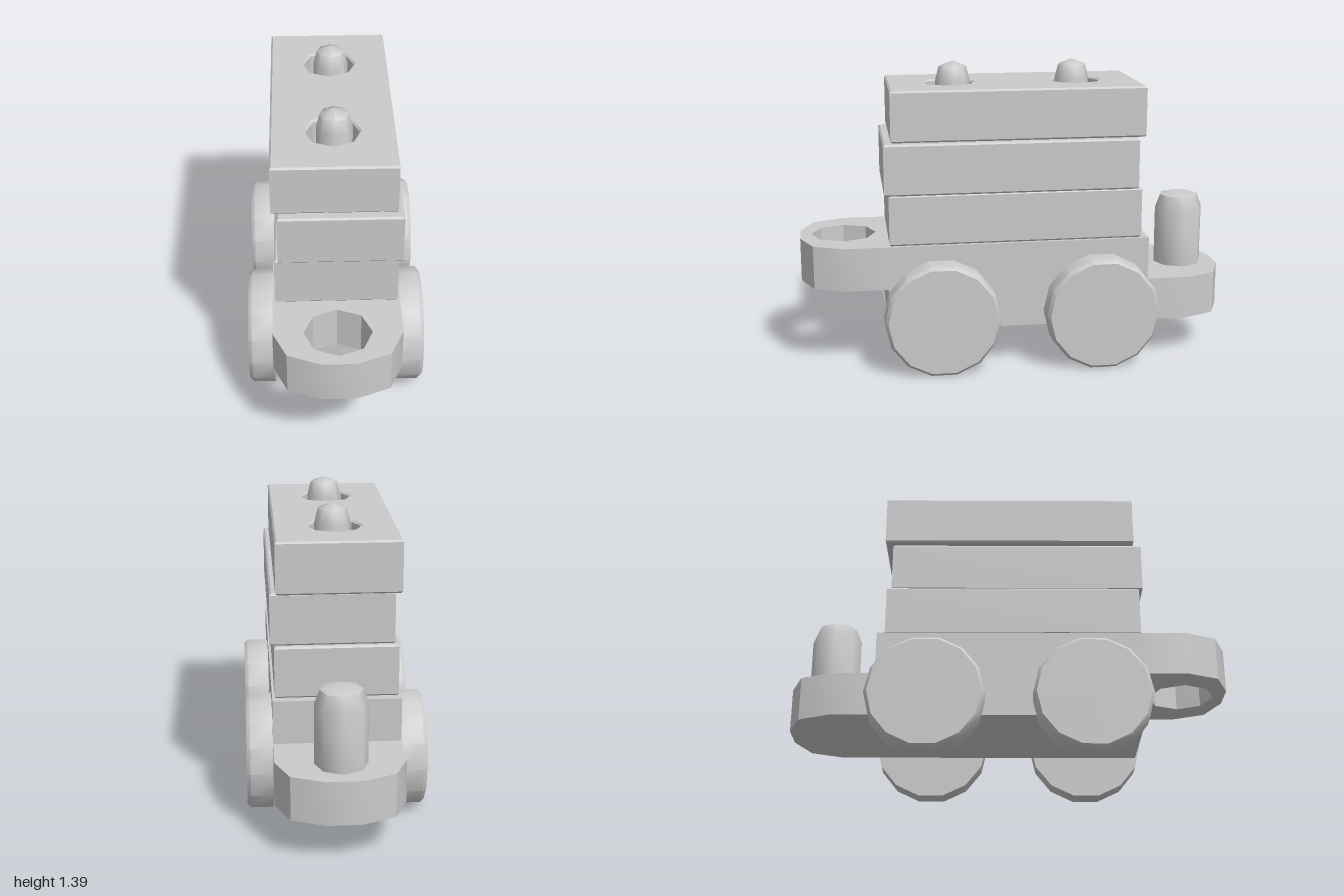
import * as THREE from 'three';
import { toCreasedNormals } from 'three/addons/utils/BufferGeometryUtils.js';

const material = new THREE.MeshStandardMaterial({ color: 0xcccccc });
const CREASE = 0.77;
const HALF = 0.283; // half width of the chassis

function add(parent, name, geometry, x = 0, y = 0, z = 0) {
  const mesh = new THREE.Mesh(geometry, material);
  mesh.name = name;
  mesh.position.set(x, y, z);
  parent.add(mesh);
  return mesh;
}

const outline = (pts) => new THREE.Shape(pts.map(([x, z]) => new THREE.Vector2(x, z)));

// Octagonal hole in a plan outline
function octagon(z, r) {
  const pts = [];
  for (let i = 0; i < 8; i++) {
    const a = (i * Math.PI) / 4;
    pts.push(new THREE.Vector2(r * Math.cos(a), z + r * Math.sin(a)));
  }
  return new THREE.Path(pts);
}

// Plan outline (x, z) raised from y = 0 to the given height
function slab(shape, height, bevel = 0) {
  const g = new THREE.ExtrudeGeometry(shape, {
    depth: height - 2 * bevel,
    bevelEnabled: bevel > 0,
    bevelSize: bevel,
    bevelThickness: bevel,
    bevelOffset: -bevel,
    bevelSegments: 1,
  });
  g.rotateX(Math.PI / 2);
  g.translate(0, height - bevel, 0);
  return toCreasedNormals(g, CREASE);
}

// Rounded coupling tongue, pointing to +z
function tongueShape() {
  return outline([
    [-HALF, 0.605], [HALF, 0.605], [HALF, 0.8], [0.222, 0.94],
    [0.075, 1], [-0.075, 1], [-0.222, 0.94], [-HALF, 0.8],
  ]);
}

// Eight-sided peg with a domed top
function peg(r, height, dome) {
  const profile = [
    [0, 0], [r, 0], [r, height - dome], [r * 0.8, height - dome * 0.28], [0, height],
  ].map(([x, y]) => new THREE.Vector2(x, y));
  return toCreasedNormals(new THREE.LatheGeometry(profile, 8), 0.95);
}

export function createModel() {
  const model = new THREE.Group();
  model.name = 'stackingWagon';

  // Chassis: middle block, raised front tongue with hole, low rear tongue with peg
  const chassis = new THREE.Group();
  chassis.name = 'chassis';
  model.add(chassis);
  add(chassis, 'chassisBlock', new THREE.BoxGeometry(2 * HALF, 0.4, 1.21), 0, 0.395, 0);
  const front = tongueShape();
  front.holes.push(octagon(0.8, 0.15));
  add(chassis, 'frontCoupling', slab(front, 0.2), 0, 0.395, 0);
  add(chassis, 'rearCoupling', slab(tongueShape(), 0.2), 0, 0.195, 0).rotation.y = Math.PI;
  add(chassis, 'couplingPeg', peg(0.115, 0.365, 0.085), 0, 0.39, -0.82);

  // Loose stacked blocks, each with two holes: [x, y, z, height]
  const blocks = [
    [0, 0.595, 0.013, 0.235],
    [0.017, 0.83, 0.033, 0.235],
    [-0.008, 1.067, -0.002, 0.233],
  ];
  blocks.forEach(([x, y, z, h], i) => {
    const w = 0.272, l = 0.583;
    const shape = outline([[-w, -l], [w, -l], [w, l], [-w, l]]);
    for (const s of [-1, 1]) shape.holes.push(octagon(s * 0.297, 0.118));
    add(model, `stackedBlock${i + 1}`, slab(shape, h, 0.008), x, y, z);
  });

  // Upright pegs through the blocks
  for (const z of [-0.283, 0.277]) add(model, 'stackPeg', peg(0.08, 0.81, 0.09), 0, 0.59, z);

  // Wheels: bevelled discs
  const rim = [[0, 0], [0.265, 0], [0.265, 0.1], [0.25, 0.117], [0, 0.117]]
    .map(([r, y]) => new THREE.Vector2(r, y));
  const wheelGeometry = toCreasedNormals(new THREE.LatheGeometry(rim, 14), CREASE);
  for (const side of [-1, 1]) {
    for (const z of [-0.375, 0.365]) {
      const wheel = add(model, 'wheel', wheelGeometry, side * 0.283, 0.265, z);
      wheel.rotation.set(Math.PI / 2, 0, -side * Math.PI / 2, 'ZXY');
      wheel.rotation.set(0, 0, -side * Math.PI / 2);
    }
  }
  return model;
}
